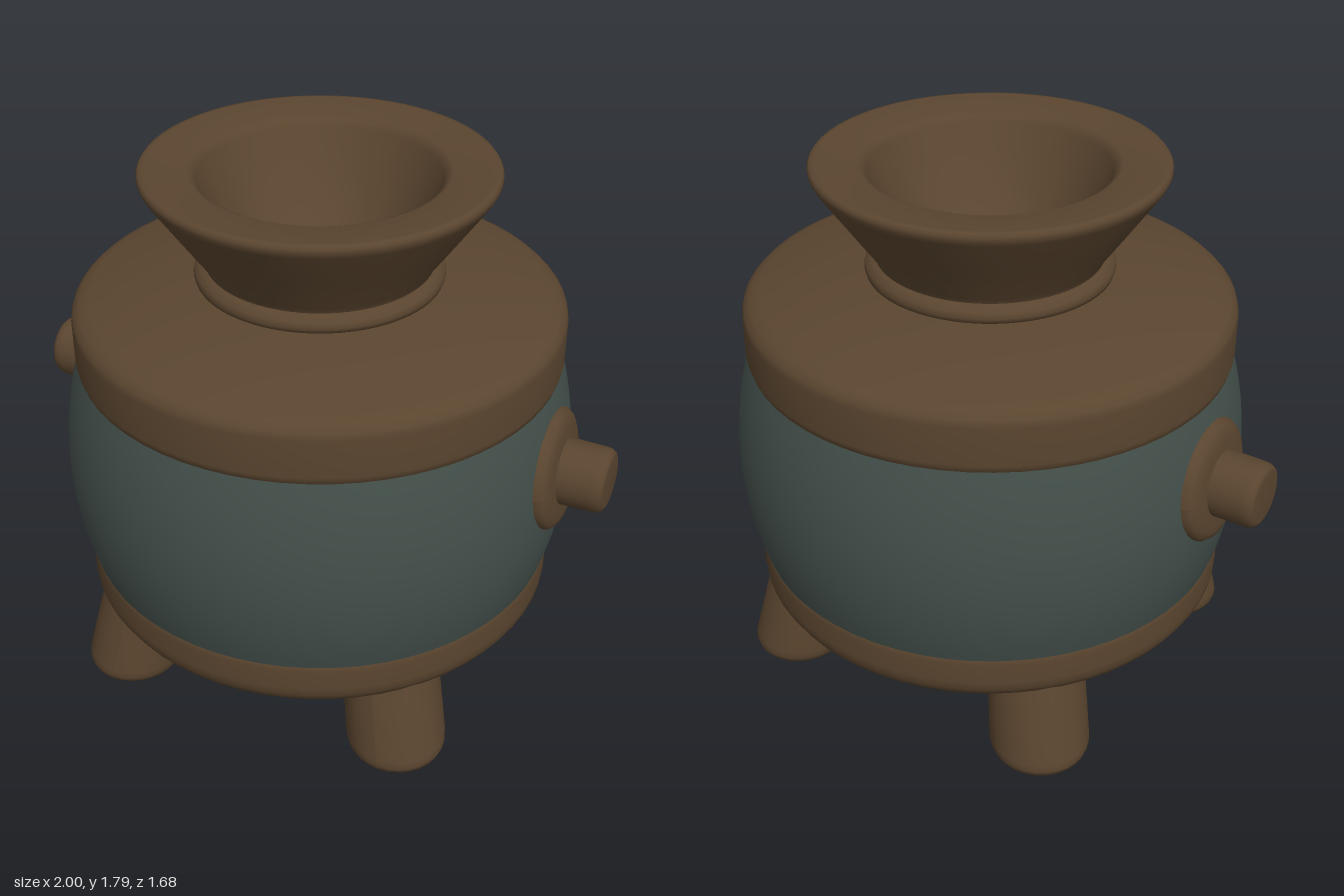
import * as THREE from 'three';

const brown = new THREE.MeshStandardMaterial({ color: 0x5a452f });
brown.name = 'brown clay';
const teal = new THREE.MeshStandardMaterial({ color: 0x434f4a });
teal.name = 'grey teal glaze';

// Bulging radius of the pot at height y
const potRadius = (y) => 0.84 - 0.055 * ((y - 0.8) / 0.35) ** 2;

function lathe(points, segments = 64) {
  return new THREE.LatheGeometry(points.map(([r, y]) => new THREE.Vector2(r, y)), segments);
}

function part(name, geometry, material) {
  const mesh = new THREE.Mesh(geometry, material);
  mesh.name = name;
  return mesh;
}

export function createModel() {
  const model = new THREE.Group();
  model.name = 'cauldron';

  // Rounded pot wall
  const wall = [];
  for (let i = 0; i <= 16; i++) {
    const y = 0.45 + (i / 16) * 0.72;
    wall.push([potRadius(y), y]);
  }
  model.add(part('potWall', lathe(wall), teal));

  // Lower band with shallow conical underside
  model.add(part('baseBand', lathe([
    [0, 0.155], [0.22, 0.157], [0.3, 0.167], [0.5, 0.215], [0.66, 0.265], [0.73, 0.288],
    [0.768, 0.308], [0.787, 0.34], [0.79, 0.37], [0.79, 0.44], [0.786, 0.465], [0.77, 0.48],
  ]), brown));

  // Upper band and sloping shoulder
  model.add(part('shoulderBand', lathe([
    [0.77, 1.145], [0.783, 1.155], [0.79, 1.18], [0.79, 1.305], [0.784, 1.328],
    [0.765, 1.348], [0.73, 1.363], [0.6, 1.392], [0.48, 1.41], [0.36, 1.422],
  ]), brown));

  // Collar under the funnel
  model.add(part('neckRing', lathe([
    [0.375, 1.41], [0.394, 1.42], [0.398, 1.435], [0.394, 1.453], [0.375, 1.468], [0.34, 1.475],
  ]), brown));

  // Flared funnel with broad flat lip and hollow bowl
  model.add(part('funnel', lathe([
    [0.36, 1.46], [0.368, 1.485], [0.46, 1.617], [0.548, 1.745], [0.557, 1.763], [0.557, 1.776],
    [0.55, 1.786], [0.535, 1.788], [0.47, 1.782], [0.405, 1.775], [0.39, 1.768], [0.378, 1.75],
    [0.335, 1.66], [0.27, 1.55], [0.2, 1.465], [0.16, 1.44], [0.1, 1.432], [0, 1.43],
  ]), brown));

  // Four stubby feet leaning outwards
  for (const sx of [1, -1]) {
    for (const sz of [1, -1]) {
      const foot = lathe([
        [0, 0], [0.135, 0], [0.152, 0.006], [0.162, 0.025], [0.164, 0.05], [0.16, 0.2], [0.155, 0.32],
      ], 28);
      const pos = foot.attributes.position;
      for (let i = 0; i < pos.count; i++) {
        const lean = pos.getY(i) * 0.17;
        pos.setX(i, pos.getX(i) + sx * (0.502 - lean));
        pos.setZ(i, pos.getZ(i) + sz * (0.475 - lean));
      }
      foot.computeVertexNormals();
      model.add(part('foot', foot, brown));
    }
  }

  // Side knobs, each on a flange that follows the curve of the pot
  for (const side of [1, -1]) {
    const handle = new THREE.Group();
    handle.name = side > 0 ? 'leftHandle' : 'rightHandle';

    const flange = lathe([
      [0.198, -0.02], [0.197, 0.008], [0.185, 0.022], [0.165, 0.028], [0.14, 0.028], [0.08, 0.026],
    ], 40).rotateZ(-Math.PI / 2);
    const pos = flange.attributes.position;
    for (let i = 0; i < pos.count; i++) {
      const y = pos.getY(i) + 0.9, z = pos.getZ(i);
      pos.setXYZ(i, pos.getX(i) + Math.sqrt(potRadius(y) ** 2 - z * z), y, z);
    }
    flange.computeVertexNormals();
    handle.add(part('flange', flange, brown));

    const knob = lathe([
      [0.108, 0.8], [0.106, 0.96], [0.104, 0.98], [0.096, 0.994], [0.082, 1], [0, 1],
    ], 32).rotateZ(-Math.PI / 2);
    knob.translate(0, 0.9, 0);
    handle.add(part('knob', knob, brown));

    if (side < 0) handle.rotation.y = Math.PI;
    model.add(handle);
  }

  return model;
}
